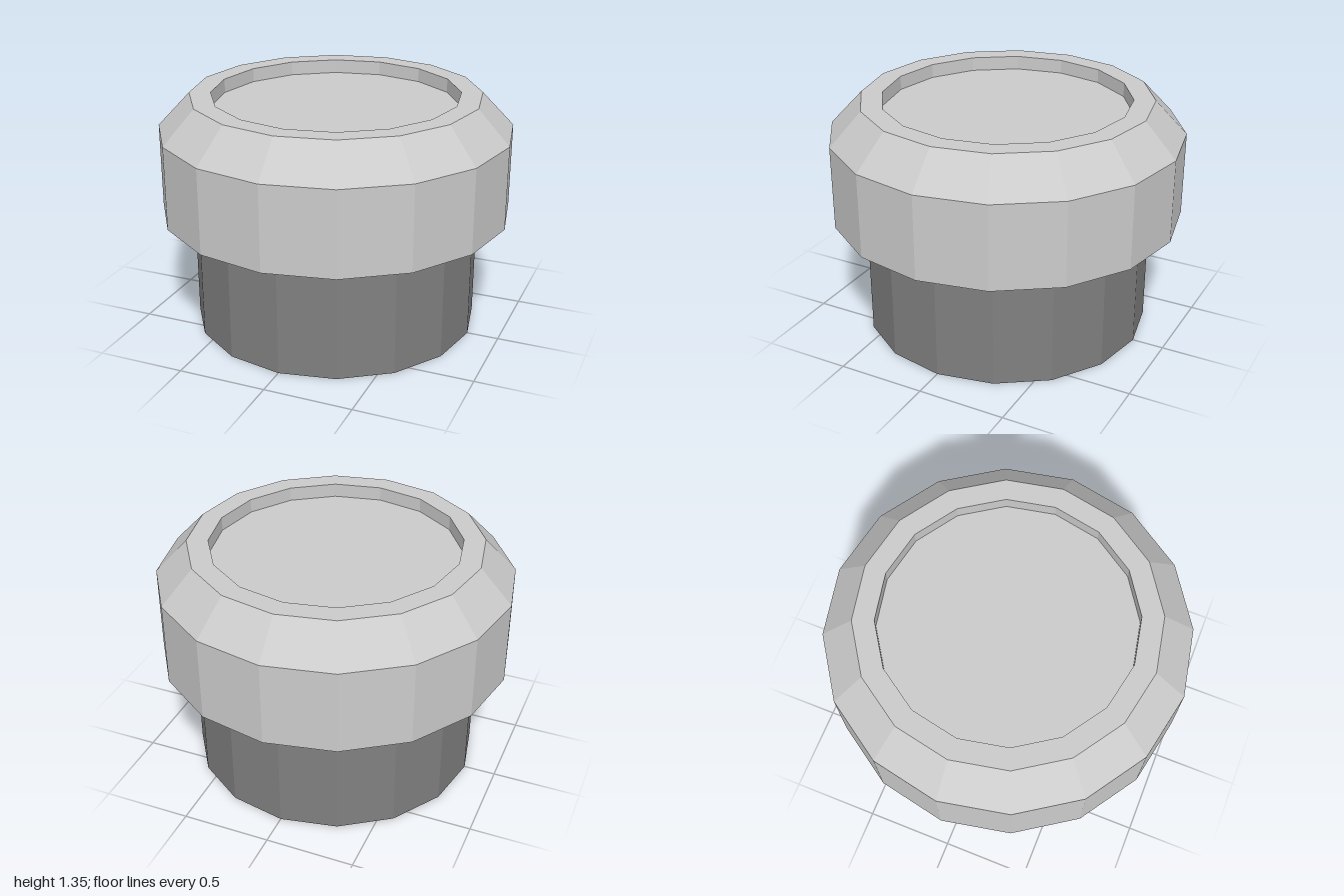
import * as THREE from 'three';

const SIDES = 16;

// Faceted solid of revolution from [radius, height] pairs, listed bottom to top
function turned(name, profile, color) {
  const points = profile.map(([r, y]) => new THREE.Vector2(r, y));
  const material = new THREE.MeshStandardMaterial({ color, flatShading: true });
  const mesh = new THREE.Mesh(new THREE.LatheGeometry(points, SIDES), material);
  mesh.name = name;
  return mesh;
}

export function createModel() {
  const group = new THREE.Group();
  group.name = 'cappedJar';

  // Darker lower body, closed at both ends
  group.add(turned('body', [[0, 0], [0.82, 0], [0.82, 0.68], [0, 0.68]], 0x808080));

  // Wider cap: underside ledge, upright wall, bevel, flat rim and shallow recess
  group.add(turned('cap', [
    [0.82, 0.68], [1, 0.68], [1, 1.16], [0.82, 1.35],
    [0.7, 1.35], [0.7, 1.27], [0, 1.27],
  ], 0xcccccc));

  return group;
}
